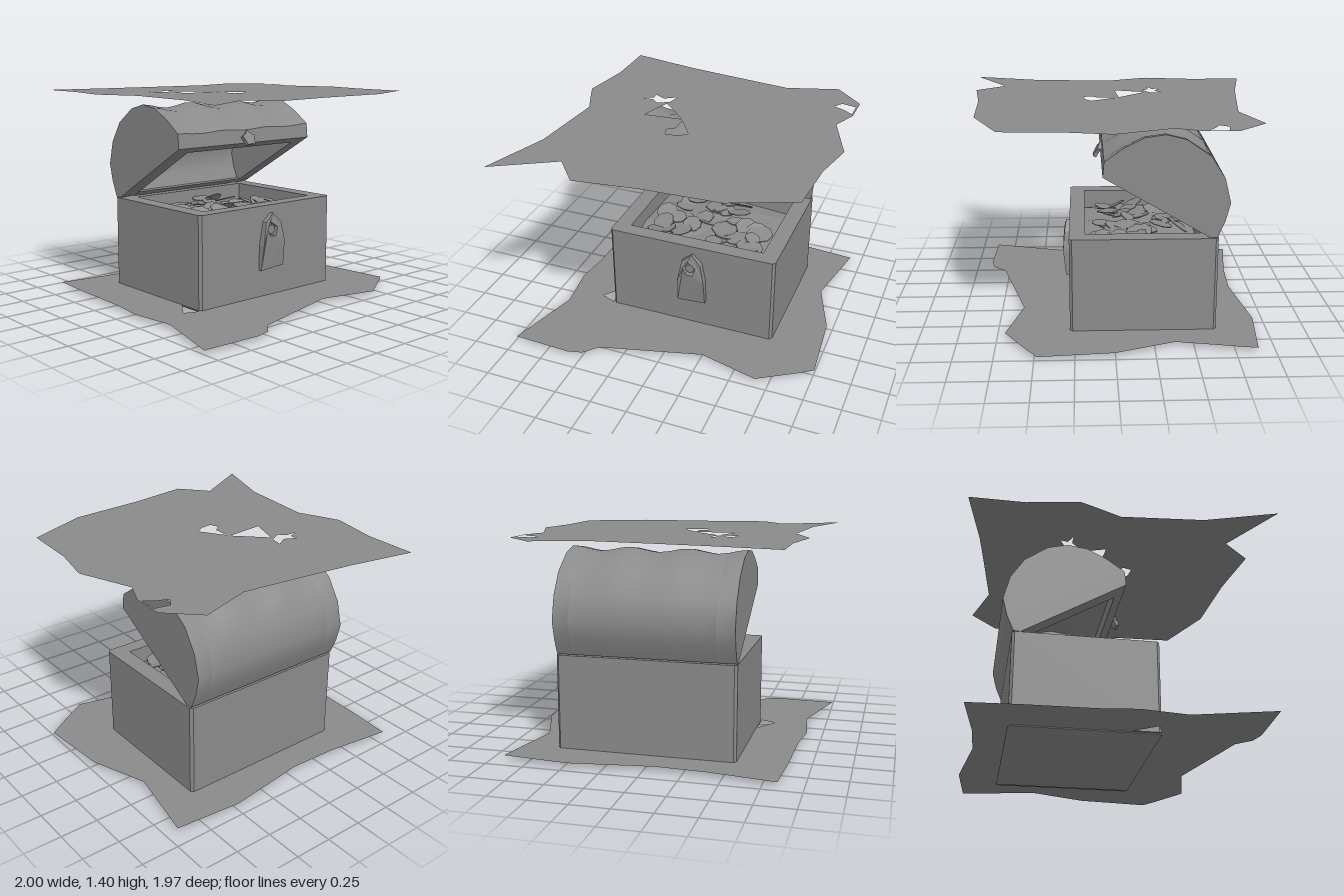
import * as THREE from 'three';
import { toCreasedNormals } from 'three/addons/utils/BufferGeometryUtils.js';

const smooth = new THREE.MeshStandardMaterial({ color: 0x8b8b8b, side: THREE.DoubleSide });
const flat = new THREE.MeshStandardMaterial({ color: 0x8b8b8b, side: THREE.DoubleSide, flatShading: true });

// Points given as [x, z] become shape points that lie correctly once laid flat
const ground = pts => pts.map(([x, z]) => new THREE.Vector2(x, -z));
const profile = pts => pts.map(([z, y]) => new THREE.Vector2(-z, y));

function add(parent, name, geometry, material = flat) {
  const mesh = new THREE.Mesh(geometry, material);
  mesh.name = name;
  parent.add(mesh);
  return mesh;
}

// Thin ragged sheet lying at height y
function sheet(outline, holes, y) {
  const shape = new THREE.Shape(ground(outline));
  holes.forEach(h => shape.holes.push(new THREE.Path(ground(h))));
  return new THREE.ShapeGeometry(shape).rotateX(-Math.PI / 2).translate(0, y, 0);
}

// Side profile in [z, y] drawn out from x0 to x1, its crown sagging in three shallow dips
function across(pts, x0, x1, steps) {
  const geo = new THREE.ExtrudeGeometry(new THREE.Shape(profile(pts)), { depth: x1 - x0, bevelEnabled: false, steps });
  geo.rotateY(Math.PI / 2).translate(x0, 0, 0);
  const p = geo.attributes.position;
  for (let i = 0; i < p.count; i++) {
    const y = p.getY(i), t = (p.getX(i) + 0.54) / 1.175;
    p.setY(i, y - 0.03 * Math.sin(3 * Math.PI * t) ** 2 * THREE.MathUtils.smoothstep(y, 1.05, 1.3));
  }
  return toCreasedNormals(geo, 0.7);
}

function seeded(seed) {
  return () => (seed = (seed * 16807) % 2147483647) / 2147483647;
}

export function createModel() {
  const model = new THREE.Group();
  model.name = 'openChest';

  // Ragged sheets below and above the chest
  add(model, 'groundSheet', sheet([
    [-1, 0.88], [-0.6, 0.895], [-0.5, 0.87], [-0.42, 0.78], [0.26, 0.6], [0.66, 0.7], [0.9, 0.55], [1, 0.48],
    [0.96, 0], [0.82, -0.38], [0.92, -0.89], [0.48, -0.93], [-0.07, -0.855], [-0.4, -0.87], [-0.84, -0.93],
    [-0.86, -0.6], [-0.87, -0.17], [-0.9, 0.07], [-0.86, 0.38],
  ], [[[-0.65, 0.24], [-0.55, 0.1], [-0.55, 0.28]]], 0.025));

  add(model, 'upperSheet', sheet([
    [-1, 0.98], [-0.6, 0.75], [-0.44, 0.94], [-0.03, 0.885], [0.48, 0.86], [0.89, 0.69], [0.91, 0.3], [0.97, 0.01],
    [0.83, -0.35], [0.9, -0.51], [0.905, -0.72], [0.71, -0.91], [0.36, -0.8], [-0.07, -0.855], [-0.4, -0.9],
    [-0.86, -0.99], [-0.86, -0.63], [-0.92, -0.29], [-0.87, -0.17], [-0.8, -0.01], [-0.85, 0.53],
  ], [
    [[0.75, -0.62], [0.79, -0.68], [0.89, -0.66], [0.89, -0.54], [0.82, -0.59]],
    [[-0.52, -0.28], [-0.45, -0.31], [-0.46, -0.36], [-0.38, -0.32], [-0.3, -0.37], [-0.32, -0.28], [-0.4, -0.24], [-0.44, -0.28]],
    [[-0.33, -0.25], [-0.14, -0.06], [-0.4, -0.04]],
    [[-0.13, -0.04], [-0.02, 0.13], [-0.08, 0.17], [-0.16, 0.18], [-0.18, 0.12], [-0.13, 0.08]],
  ], 1.4));

  // Chest walls: a rectangular ring with chamfered corners, pulled upward
  const ring = new THREE.Shape(ground([
    [-0.525, 0.283], [0.625, 0.283], [0.642, 0.265], [0.642, -0.645], [0.625, -0.663],
    [-0.525, -0.663], [-0.542, -0.645], [-0.542, 0.265],
  ]));
  ring.holes.push(new THREE.Path(ground([[-0.43, 0.18], [-0.43, -0.56], [0.53, -0.56], [0.53, 0.18]])));
  add(model, 'chestWalls', new THREE.ExtrudeGeometry(ring, { depth: 0.633, bevelEnabled: false })
    .rotateX(-Math.PI / 2).translate(0, 0.015, 0));

  // Shallow tapered underside pressed through the ground sheet
  add(model, 'chestBottom', new THREE.CylinderGeometry(Math.SQRT1_2, 0.62, 0.024, 4)
    .rotateY(Math.PI / 4).scale(1.2, 1, 0.97).translate(0.05, 0.012, -0.19));

  // Treasure: a lumpy bed with coins heaped over it
  const rand = seeded(71);
  const bed = new THREE.PlaneGeometry(0.98, 0.76, 8, 6).rotateX(-Math.PI / 2).translate(0.05, 0, -0.19);
  const p = bed.attributes.position;
  for (let i = 0; i < p.count; i++) {
    const edge = Math.hypot((p.getX(i) - 0.05) / 0.5, (p.getZ(i) + 0.19) / 0.4);
    p.setY(i, 0.57 - 0.05 * edge + 0.03 * rand());
  }
  add(model, 'treasureBed', bed);

  const coins = new THREE.Group();
  coins.name = 'coins';
  model.add(coins);
  for (let i = 0; i < 36; i++) {
    const r = 0.055 + 0.04 * rand();
    const coin = add(coins, 'coin', new THREE.CylinderGeometry(r, r, 0.006, 8));
    coin.position.set(0.05 + (rand() - 0.5) * 0.76, 0.565 + 0.03 * rand(), -0.19 + (rand() - 0.5) * 0.55);
    coin.rotation.set((rand() - 0.5) * 0.7, rand() * 6, (rand() - 0.5) * 0.7);
  }

  // Open lid: hollow arched shell between two thick end panels
  const lid = new THREE.Group();
  lid.name = 'lid';
  model.add(lid);
  const arch = [
    [0.07, 1.05], [0.06, 1.15], [-0.06, 1.235], [-0.19, 1.3], [-0.32, 1.318], [-0.45, 1.285],
    [-0.6, 1.18], [-0.69, 1.04], [-0.73, 0.88], [-0.7, 0.76], [-0.655, 0.655], [-0.61, 0.65],
  ];
  const inner = arch.map(([z, y]) => [-0.27 + (z + 0.27) * 0.82, 0.85 + (y - 0.85) * 0.82]);
  add(lid, 'lidShell', across([...arch, ...inner.reverse()], -0.42, 0.53, 12), smooth);
  add(lid, 'leftLidEnd', across(arch, 0.53, 0.635, 2), smooth);
  add(lid, 'rightLidEnd', across(arch, -0.54, -0.42, 2), smooth);

  // Small star-shaped catch hanging forward from the lid's front edge
  const star = new THREE.Shape(Array.from({ length: 10 }, (_, i) => {
    const a = Math.PI / 2 + i * Math.PI / 5, r = i % 2 ? 0.042 : 0.058;
    return new THREE.Vector2(Math.cos(a) * r, Math.sin(a) * r);
  }));
  const latch = add(lid, 'lidCatch', new THREE.ExtrudeGeometry(star, { depth: 0.025, bevelEnabled: false }));
  latch.position.set(0.045, 1.075, 0.078);
  latch.rotation.x = -0.5;

  // Lock plate with a keyhole, bulging forward at mid height
  const plate = new THREE.Shape([
    [-0.035, 0.21], [0.165, 0.225], [0.16, 0.4], [0.135, 0.53], [0.07, 0.595], [0, 0.54], [-0.03, 0.38],
  ].map(q => new THREE.Vector2(...q)));
  plate.holes.push(new THREE.Path([
    [0.01, 0.49], [0.04, 0.54], [0.1, 0.5], [0.08, 0.44], [0.03, 0.445],
  ].map(q => new THREE.Vector2(...q))));
  const lock = new THREE.ExtrudeGeometry(plate, { depth: 0.055, bevelEnabled: false });
  const lp = lock.attributes.position;
  for (let i = 0; i < lp.count; i++) {
    if (lp.getZ(i) > 0.01) lp.setZ(i, 0.055 - 0.6 * (lp.getY(i) - 0.4) ** 2);
  }
  add(model, 'lockPlate', lock.translate(0, 0, 0.275));
  const bolt = add(model, 'lockBolt', new THREE.CylinderGeometry(0.035, 0.035, 0.03, 5).rotateX(Math.PI / 2));
  bolt.position.set(0.055, 0.485, 0.295);

  return model;
}
